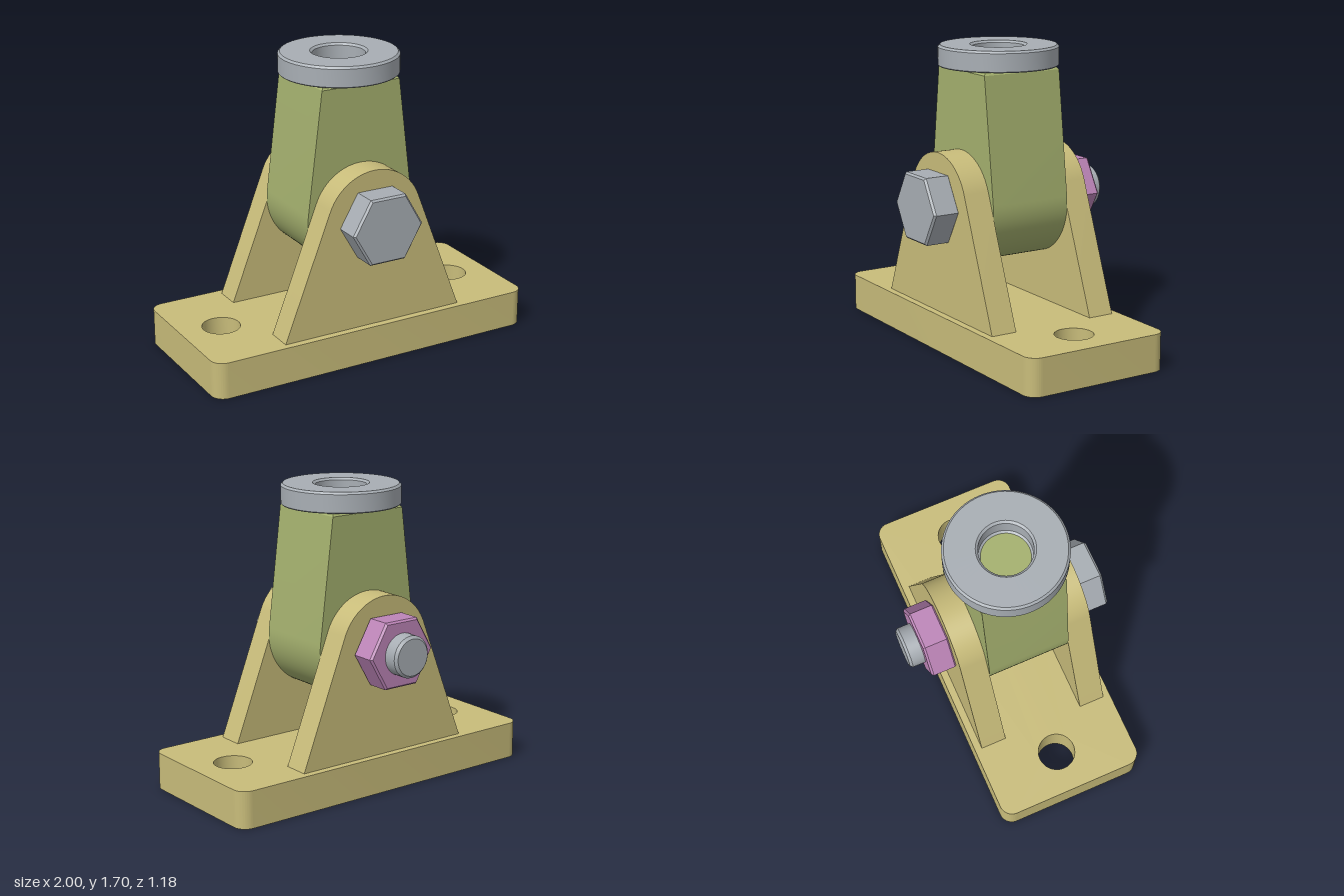
import * as THREE from 'three';
import { toCreasedNormals } from 'three/addons/utils/BufferGeometryUtils.js';

const mat = (name, color) => new THREE.MeshStandardMaterial({ name, color });

export function createModel() {
  const group = new THREE.Group();
  const tan = mat('tan bracket', 0xc8bc7a);
  const green = mat('green post', 0xa4b06e);
  const steel = mat('steel grey', 0xa8aeb4);
  const mauve = mat('mauve nut', 0xbd85b8);

  const CZ = 0.045;     // middle plane of the bracket
  const AXIS = 0.823;   // height of the pivot
  const BASE = 0.212;   // thickness of the base plate

  const add = (name, geometry, material) => {
    const mesh = new THREE.Mesh(toCreasedNormals(geometry, 0.5), material);
    mesh.name = name;
    group.add(mesh);
    return mesh;
  };
  const extrude = (shape, depth) =>
    new THREE.ExtrudeGeometry(shape, { depth, bevelEnabled: false, curveSegments: 24 });
  const lathe = (points, sides, phi = 0) =>
    new THREE.LatheGeometry(points.map(([r, y]) => new THREE.Vector2(r, y)), sides, phi);
  // Solid turned along z from z0 to z1, with chamfers at each end
  const turned = (r, z0, z1, c0, c1, sides) =>
    lathe([[0, z0], [r - c0, z0], [r, z0 + c0], [r, z1 - c1], [r - c1, z1], [0, z1]],
      sides, Math.PI / 6).rotateX(Math.PI / 2);

  // Base plate with rounded corners and two mounting holes
  const W = 1, D = 0.438, R = 0.075;
  const plate = new THREE.Shape();
  plate.absarc(W - R, D - R, R, 0, Math.PI / 2);
  plate.absarc(-W + R, D - R, R, Math.PI / 2, Math.PI);
  plate.absarc(-W + R, -D + R, R, Math.PI, Math.PI * 1.5);
  plate.absarc(W - R, -D + R, R, Math.PI * 1.5, Math.PI * 2);
  for (const s of [-1, 1]) {
    plate.holes.push(new THREE.Path().absarc(s * 0.757, 0, 0.108, 0, Math.PI * 2, true));
  }
  add('basePlate', extrude(plate, BASE).rotateX(-Math.PI / 2).translate(0, 0, CZ), tan);

  // Two lugs: straight flanks tangent to a rounded top
  const lug = new THREE.Shape();
  lug.moveTo(-0.56, BASE);
  lug.lineTo(0.56, BASE);
  lug.absarc(0, AXIS, 0.3, 0.371, Math.PI - 0.371);
  lug.closePath();
  add('frontLug', extrude(lug, 0.153).translate(0, 0, CZ + 0.243), tan);
  add('backLug', extrude(lug, 0.153).translate(0, 0, CZ - 0.396), tan);

  // Tapered post with a round lower end
  const TOP = 1.565, HW = 0.243;
  const post = new THREE.Shape();
  post.moveTo(HW, TOP);
  post.lineTo(-HW, TOP);
  post.absarc(0, AXIS, 0.333, Math.PI - 0.12, Math.PI * 2 + 0.12);
  post.closePath();
  add('post', extrude(post, HW * 2).translate(0, 0, CZ - HW), green);

  // Chamfered top of the post
  const chamfer = new THREE.BoxGeometry(HW * 2, 0.016, HW * 2);
  const p = chamfer.attributes.position;
  for (let i = 0; i < p.count; i++) {
    if (p.getY(i) > 0) p.setXYZ(i, p.getX(i) * 0.945, p.getY(i), p.getZ(i) * 0.945);
  }
  add('postTop', chamfer.translate(0, TOP + 0.008, CZ), green);

  // Ring cap with chamfered rim and bore
  const Y0 = 1.58, Y1 = 1.698, c = 0.012;
  const cap = lathe([
    [0.135, Y0 + 0.002], [0.15, Y0], [0.338 - c / 2, Y0], [0.338, Y0 + c / 2], [0.338, Y1 - c],
    [0.338 - c, Y1], [0.16, Y1], [0.147, Y1 - c], [0.147, Y0 + c], [0.135, Y0 + 0.002],
  ], 64);
  add('ringCap', cap.translate(0, 0, CZ), steel);

  // Pivot bolt: hexagonal head in front, nut and shank end behind
  const raise = (g) => g.translate(0, AXIS, 0);
  add('boltHead', raise(turned(0.218, 0.441, 0.59, 0.001, 0.012, 6)), steel);
  add('boltShank', raise(turned(0.119, -0.59, 0.45, 0.015, 0.001, 48)), steel);
  add('nut', raise(turned(0.218, -0.5, -0.351, 0.012, 0.008, 6)), mauve);

  return group;
}
